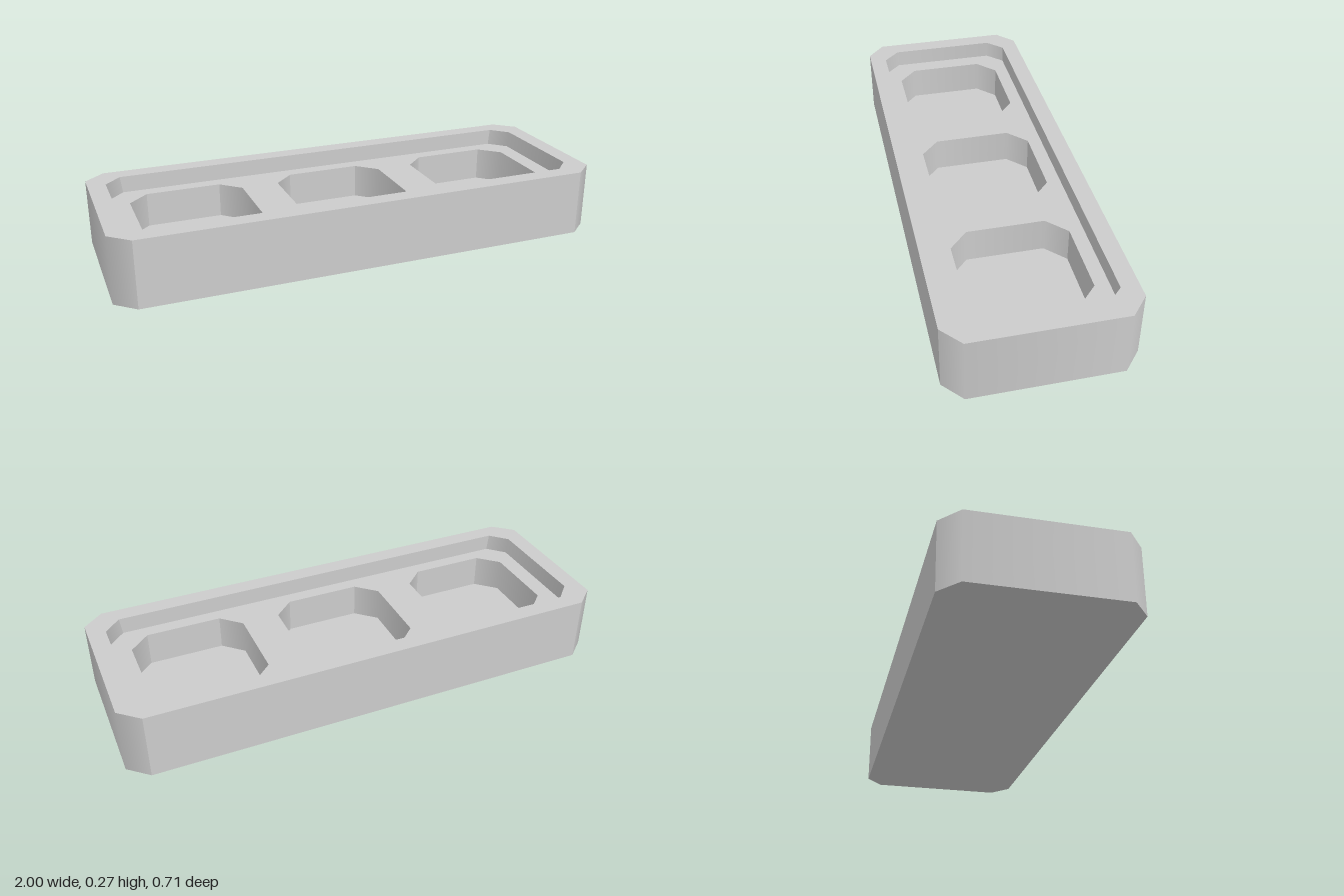
import * as THREE from 'three';

const material = new THREE.MeshStandardMaterial({ color: 0xcccccc });
const H = 0.27, LEDGE = 0.203, FLOOR = 0.063;

// Chamfered rectangle, listed as pairs of corners: end side, chamfer, long side...
function octagon(hx, hz, cx, cz, x0 = 0) {
  return [
    [hx, hz - cz], [hx - cx, hz], [cx - hx, hz], [-hx, hz - cz],
    [-hx, cz - hz], [cx - hx, -hz], [hx - cx, -hz], [hx, cz - hz],
  ].map(([x, z]) => new THREE.Vector2(x + x0, z));
}

// Flat face at a height, with optional holes, facing up or down
function flat(name, outline, y, holes = [], up = true) {
  const shape = new THREE.Shape(outline);
  shape.holes = holes.map((h) => new THREE.Path(h));
  const geo = new THREE.ShapeGeometry(shape);
  geo.rotateX(up ? -Math.PI / 2 : Math.PI / 2).translate(0, y, 0);
  const mesh = new THREE.Mesh(geo, material);
  mesh.name = name;
  return mesh;
}

// Upright wall between two outlines; chamfers blend into the short ends only
function wall(name, bottom, top, y0, y1, inward = false) {
  const n = bottom.length, pos = [], nor = [], index = [];
  const s = inward ? -1 : 1;
  const normals = bottom.map((p, i) => {
    const d = bottom[(i + 1) % n].clone().sub(p).normalize();
    return new THREE.Vector2(d.y * s, -d.x * s);
  });
  const blendAt = (i, own) => (i % 4 === 0 || i % 4 === 3
    ? normals[i].clone().add(normals[(i + n - 1) % n]).normalize() : own);
  for (let i = 0; i < n; i++) {
    const j = (i + 1) % n, v = pos.length / 3;
    for (const k of [i, j]) {
      const m = blendAt(k, normals[i]);
      pos.push(bottom[k].x, y0, bottom[k].y, top[k].x, y1, top[k].y);
      nor.push(m.x, 0, m.y, m.x, 0, m.y);
    }
    if (inward) index.push(v, v + 2, v + 1, v + 1, v + 2, v + 3);
    else index.push(v, v + 1, v + 2, v + 1, v + 3, v + 2);
  }
  const geo = new THREE.BufferGeometry();
  geo.setAttribute('position', new THREE.Float32BufferAttribute(pos, 3));
  geo.setAttribute('normal', new THREE.Float32BufferAttribute(nor, 3));
  geo.setIndex(index);
  const mesh = new THREE.Mesh(geo, material);
  mesh.name = name;
  return mesh;
}

export function createModel() {
  const group = new THREE.Group();
  group.name = 'tray';

  const outer = octagon(1, 0.357, 0.08, 0.07);
  const recessTop = octagon(0.928, 0.287, 0.065, 0.065);
  const recessBottom = octagon(0.92, 0.285, 0.065, 0.065);
  const pockets = [-0.617, 0, 0.617].map((x) => octagon(0.232, 0.229, 0.08, 0.075, x));

  // Outer body
  group.add(flat('base', outer, 0, [], false));
  group.add(wall('outerWall', outer, outer, 0, H));
  group.add(flat('rim', outer, H, [recessTop]));

  // Shallow recess with its ledge
  group.add(wall('recessWall', recessBottom, recessTop, LEDGE, H, true));
  group.add(flat('ledge', recessBottom, LEDGE, pockets));

  // Three pockets
  pockets.forEach((p, i) => {
    const pocket = new THREE.Group();
    pocket.name = `pocket${i + 1}`;
    pocket.add(wall('pocketWall', p, p, FLOOR, LEDGE, true), flat('pocketFloor', p, FLOOR));
    group.add(pocket);
  });
  return group;
}
